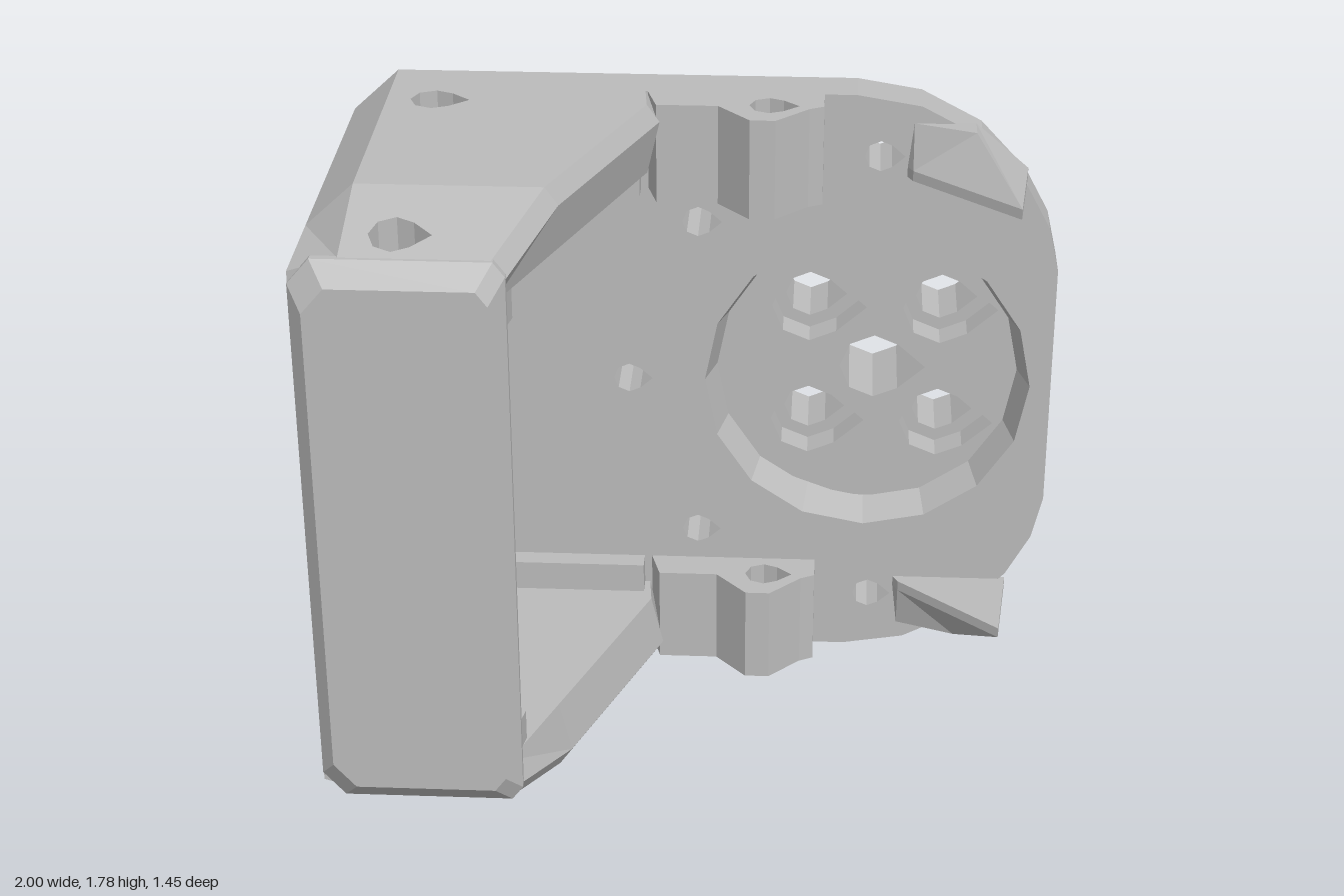
import * as THREE from 'three';

const H = 1.78, MID = H / 2;
const grey = new THREE.MeshStandardMaterial({ color: 0xbbbbbb });
grey.name = 'plain grey';
grey.flatShading = true;

const V = (x, y) => new THREE.Vector2(x, y);
const pull = (value, centre, d) => value - Math.sign(value - centre) * d;

// Printed screw hole: round with a point towards +x
function teardrop(x, y, r) {
  const pts = [];
  for (let i = 0; i <= 6; i++) {
    const t = Math.PI * (0.25 + 1.5 * i / 6);
    pts.push(V(x + r * Math.cos(t), y + r * Math.sin(t)));
  }
  pts.push(V(x + r * 1.5, y));
  return pts;
}

function ring(x, y, r, n, from = 0, sweep = Math.PI * 2) {
  const full = sweep > 6.28;
  return Array.from({ length: full ? n : n + 1 }, (_, i) => {
    const t = from + sweep * i / n;
    return V(x + r * Math.cos(t), y + r * Math.sin(t));
  });
}

// Layered prism. axis is the extrusion direction:
// z takes (x, y) profiles, y takes (x, z) profiles, x takes (z, y) profiles.
function slab(name, outline, holes, axis, layers, rule = () => {}, flip = false) {
  const shape = new THREE.Shape(outline);
  holes.forEach(h => shape.holes.push(new THREE.Path(h)));
  const steps = layers.length - 1;
  let g = new THREE.ExtrudeGeometry(shape, { depth: 1, steps, bevelEnabled: false });
  if (g.index) g = g.toNonIndexed();
  const p = g.attributes.position, v = new THREE.Vector3();
  for (let i = 0; i < p.count; i++) {
    v.fromBufferAttribute(p, i);
    const k = Math.round(v.z * steps);
    const edge = outline.some(o => Math.hypot(o.x - v.x, o.y - v.y) < 1e-4);
    v.z = layers[k];
    rule(v, k, edge);
    if (axis === 'y') v.set(v.x, v.z, v.y);
    if (axis === 'x') v.set(v.z, v.y, v.x);
    if (flip) v.y = H - v.y;
    p.setXYZ(i, v.x, v.y, v.z);
  }
  // Turn the faces outwards if the mapping mirrored them
  const a = new THREE.Vector3(), b = new THREE.Vector3(), c = new THREE.Vector3();
  let volume = 0;
  for (let i = 0; i < p.count; i += 3) {
    a.fromBufferAttribute(p, i); b.fromBufferAttribute(p, i + 1); c.fromBufferAttribute(p, i + 2);
    volume += a.dot(v.crossVectors(b, c));
  }
  if (volume < 0) {
    for (let i = 0; i < p.count; i += 3) {
      b.fromBufferAttribute(p, i + 1); c.fromBufferAttribute(p, i + 2);
      p.setXYZ(i + 1, c.x, c.y, c.z); p.setXYZ(i + 2, b.x, b.y, b.z);
    }
  }
  g.deleteAttribute('uv');
  g.computeVertexNormals();
  const mesh = new THREE.Mesh(g, grey);
  mesh.name = name;
  return mesh;
}

export function createModel() {
  const model = new THREE.Group();
  model.name = 'motorBracket';
  const add = (...args) => model.add(slab(...args));
  const hub = V(0.47, MID);

  // Back plate with rounded end, bevelled rear edge and round recess
  const plate = [V(-1, 0.12), V(-0.87, 0), V(0.42, 0), V(0.6, 0.03), V(0.77, 0.12), V(0.9, 0.26), V(0.97, 0.39), V(1, 0.52)];
  plate.push(...plate.slice().reverse().map(q => V(q.x, H - q.y)));
  const plateHoles = [[-0.22, MID], [-0.02, 1.39], [-0.02, 0.39], [0.49, 1.6], [0.49, 0.18]]
    .map(([x, y]) => teardrop(x, y, 0.045));
  plateHoles.push(ring(hub.x, hub.y, 0.47, 16));
  add('backPlate', plate, plateHoles, 'z', [-0.3, -0.43, -0.5], (v, k, edge) => {
    if (edge && k === 2) {
      v.x = pull(v.x, 0, 0.05);
      v.y = pull(v.y, MID, 0.07);
    } else if (!edge && k > 0) {
      const d = Math.hypot(v.x - hub.x, v.y - hub.y);
      if (Math.abs(d - 0.47) < 0.005) {
        v.x = hub.x + (v.x - hub.x) * 0.92;
        v.y = hub.y + (v.y - hub.y) * 0.92;
      }
    }
  });

  // Round boss on the back with a sloping nose and counterbored holes
  const bores = [[0.3, 1.08], [0.68, 1.08], [0.3, 0.71], [0.68, 0.71]];
  const boss = [V(0.07, MID - 0.2), ...ring(0.49, MID, 0.44, 12, -2.1, 4.2), V(0.07, MID + 0.2)];
  add('rearBoss', boss, [...bores.map(([x, y]) => teardrop(x, y, 0.11)), teardrop(0.49, MID, 0.1)],
    'z', [-0.41, -0.5, -0.5, -0.69], (v, k, edge) => {
      if (edge && v.x < 0.08 && k < 3) v.x = -0.12;
      if (edge || k < 2) return;
      const bore = bores.find(([x, y]) => Math.hypot(v.x - x, v.y - y) < 0.17 && Math.abs(v.y - MID) > 0.075);
      if (bore && Math.hypot(v.x - 0.49, v.y - MID) > 0.105) {
        v.x = bore[0] + (v.x - bore[0]) * 0.65;
        v.y = bore[1] + (v.y - bore[1]) * 0.65;
      }
    });
  add('bossRim', [...ring(0.49, MID, 0.44, 12, -1.9, 3.8), ...ring(0.49, MID, 0.37, 12, -1.9, 3.8).reverse()],
    [], 'z', [-0.68, -0.73]);

  // Left wall with shaft opening, pin holes and a row of vents
  const side = [V(-0.3, 0), V(0.38, 0), V(0.66, 0.08), V(0.66, H - 0.08), V(0.38, H), V(-0.3, H)];
  const sideHoles = [ring(0.18, MID, 0.285, 14), ring(0.54, 1.37, 0.025, 6), ring(0.54, 0.41, 0.025, 6)];
  for (let i = 0; i < 11; i++) {
    const y = 0.35 + i * 0.108, w = i % 2 ? 0.035 : 0.022;
    sideHoles.push([V(-0.22, y - w), V(-0.13, y - w * 0.6), V(-0.14, y + w), V(-0.21, y + w * 0.7)]);
  }
  add('leftWall', side, sideHoles, 'x', [-1, -0.87], (v, k, edge) => {
    if (edge && k === 0) v.y = THREE.MathUtils.clamp(v.y, 0.12, H - 0.12);
  });

  // Front wall with bevelled face
  const front = [V(-1, 0.15), V(-0.94, 0.08), V(-0.48, 0.08), V(-0.45, 0.12)];
  front.push(...front.slice().reverse().map(q => V(q.x, H - q.y)));
  add('frontWall', front, [], 'z', [0.65, 0.67, 0.72], (v, k) => {
    if (k === 2) {
      v.x = pull(v.x, -0.72, 0.04);
      v.y = pull(v.y, MID, 0.06);
    }
  });

  // Upper parts, mirrored for the lower side
  for (const low of [false, true]) {
    const part = low ? 'lower' : 'upper';
    const bevel = (v, k, edge) => {
      if (edge && v.x > -0.8 && k !== 1) v.x -= 0.035;
      if (v.y > 0.38 && k > 0) v.z -= (v.y - 0.38) * 0.286;
    };
    // Tapering arm, flat at the rear and sloping at the front
    add(part + 'ArmRear', [V(-0.87, -0.3), V(-0.13, -0.3), V(-0.12, -0.2), V(-0.343, 0.38), V(-0.87, 0.38)],
      [teardrop(-0.74, -0.21, 0.065)], 'y', [1.58, 1.73, H], bevel, low);
    add(part + 'ArmFront', [V(-0.87, 0.38), V(-0.343, 0.38), V(-0.45, 0.66), V(-0.87, 0.66)],
      [teardrop(-0.74, 0.57, 0.065)], 'y', [1.58, 1.73, H], bevel, low);
    // Inner ledges
    add(part + 'FrontLedge', [V(-0.87, 0.55), V(-0.45, 0.55), V(-0.47, 0.655), V(-0.87, 0.655)],
      [], 'y', [1.49, 1.6], undefined, low);
    add(part + 'RearLedge', [V(-0.87, -0.31), V(-0.18, -0.31), V(-0.18, -0.24), V(-0.87, -0.24)],
      [], 'y', [1.49, 1.6], undefined, low);
    // Screw post on the plate edge
    add(part + 'ScrewPost', [V(-0.16, -0.305), V(-0.13, -0.2), V(0.04, -0.2), V(0.13, -0.1), V(0.2, -0.1),
      V(0.29, -0.19), V(0.33, -0.21), V(0.33, -0.305)], [teardrop(0.18, -0.21, 0.055)],
      'y', [1.49, H], undefined, low);
    // Pointed guide fin
    add(part + 'GuideFin', [V(0.56, -0.31), V(0.58, -0.27), V(0.87, -0.02), V(0.9, -0.31)],
      [], 'y', [1.54, 1.57, 1.7], (v, k) => {
        if (k === 2) {
          v.y = -0.31 + (v.y + 0.31) * 0.25;
          v.x = Math.min(v.x, 0.75);
        }
      }, low);
  }
  return model;
}
